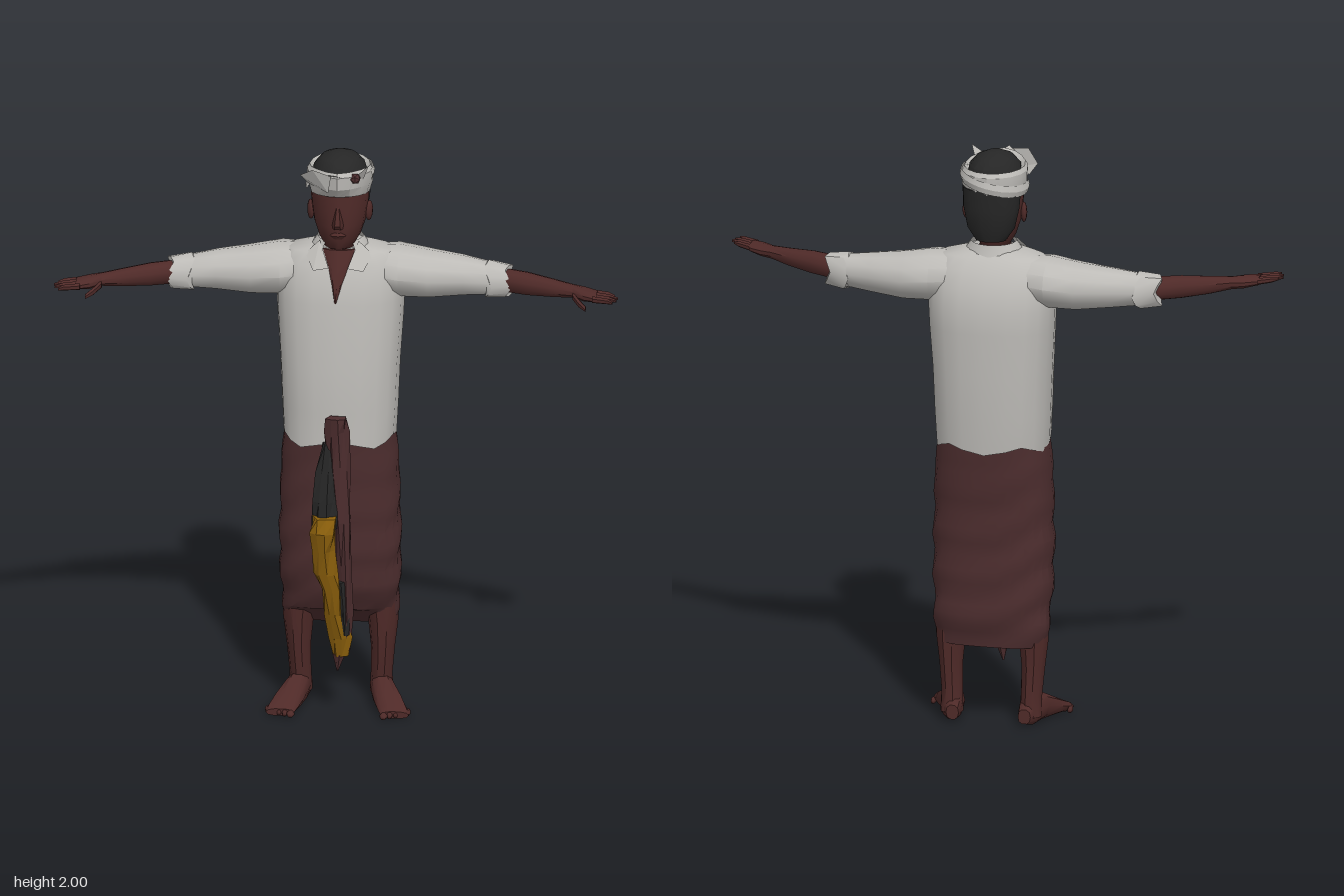
import * as THREE from 'three';
import { toCreasedNormals } from 'three/addons/utils/BufferGeometryUtils.js';

const mat = (name, color, side = THREE.FrontSide) => {
  const m = new THREE.MeshStandardMaterial({ color, side });
  m.name = name;
  return m;
};

// Ring layouts per axis; a ring is [position, centreA, centreB, radiusA, radiusB]
const PLACE = {
  y: (r, c, s, p) => p.set(r[1] + r[3] * c, r[0], r[2] + r[4] * s),
  x: (r, c, s, p) => p.set(r[0], r[1] + r[3] * c, r[2] - r[4] * s),
  z: (r, c, s, p) => p.set(r[1] + r[3] * c, r[2] - r[4] * s, r[0]),
};

// Skin elliptical rings along an axis. square < 1 makes boxier sections, warp bends points.
function loft(axis, rings, { n = 14, square = 1, warp, mirror = false, crease = 0.7, from = 0, span = Math.PI * 2 } = {}) {
  const closed = span > 6.28, cols = closed ? n : n + 1;
  const pos = [], idx = [], p = new THREE.Vector3();
  const push = () => pos.push(mirror ? -p.x : p.x, p.y, p.z);
  const tri = (a, b, c) => (mirror ? idx.push(a, c, b) : idx.push(a, b, c));
  const soft = v => Math.sign(v) * Math.pow(Math.abs(v), square);
  rings.forEach((r, i) => {
    for (let j = 0; j < cols; j++) {
      const t = from + (j / n) * span;
      PLACE[axis](r, soft(Math.cos(t)), soft(Math.sin(t)), p);
      if (warp) warp(p, t, i, r);
      push();
    }
  });
  for (let i = 0; i < rings.length - 1; i++) {
    for (let j = 0; j < n; j++) {
      const a = i * cols + j, b = i * cols + ((j + 1) % cols);
      tri(a, a + cols, b);
      tri(b, a + cols, b + cols);
    }
  }
  if (closed) {
    const last = rings.length - 1;
    [0, last].forEach(i => {
      PLACE[axis](rings[i], 0, 0, p);
      const c = pos.length / 3;
      push();
      for (let j = 0; j < n; j++) {
        const a = i * cols + j, b = i * cols + ((j + 1) % cols);
        i === 0 ? tri(c, a, b) : tri(c, b, a);
      }
    });
  }
  const g = new THREE.BufferGeometry();
  g.setAttribute('position', new THREE.Float32BufferAttribute(pos, 3));
  g.setIndex(idx);
  return toCreasedNormals(g, crease);
}

// Small flat cloth piece from a fan of corner points
function flap(points) {
  const g = new THREE.BufferGeometry();
  g.setAttribute('position', new THREE.Float32BufferAttribute(points.flat(), 3));
  g.setIndex(points.slice(2).flatMap((_, i) => [0, i + 1, i + 2]));
  return toCreasedNormals(g, 0);
}

export function createModel() {
  const model = new THREE.Group();
  model.name = 'standingMan';
  const skin = mat('skin', 0x4f2a28);
  const shirt = mat('white cloth', 0xbdbbb7, THREE.DoubleSide);
  const maroon = mat('maroon cloth', 0x4c2d2e, THREE.DoubleSide);
  const black = mat('black', 0x262626);
  const gold = mat('gold cloth', 0x8c600c);
  const add = (name, geo, m, parent = model) => {
    const mesh = new THREE.Mesh(geo, m);
    mesh.name = name;
    parent.add(mesh);
    return mesh;
  };

  // Shirt body with a slightly uneven hem
  add('shirtBody', loft('y', [
    [0.985, 0, -0.043, 0.192, 0.162], [1.1, 0, -0.05, 0.198, 0.166], [1.25, 0, -0.053, 0.204, 0.167],
    [1.4, 0, -0.065, 0.214, 0.158], [1.48, 0, -0.068, 0.218, 0.154], [1.55, 0, -0.066, 0.218, 0.138],
    [1.61, 0, -0.064, 0.208, 0.112], [1.648, 0, -0.058, 0.175, 0.085], [1.668, 0, -0.05, 0.09, 0.07],
  ], { n: 20, square: 0.8, warp: (p, t, i) => { if (i === 0) p.y += 0.014 * Math.sin(5 * t); } }), shirt);

  // Open neckline and collar
  add('chestSkin', loft('y', [
    [1.49, -0.008, 0.083, 0.003, 0.006], [1.55, -0.004, 0.07, 0.017, 0.009],
    [1.61, 0, 0.047, 0.034, 0.011], [1.665, 0, 0.018, 0.055, 0.018],
  ], { n: 8 }), skin);
  add('collar', loft('y', [
    [1.635, 0, -0.045, 0.115, 0.1], [1.66, 0, -0.045, 0.1, 0.09], [1.692, 0, -0.05, 0.078, 0.076],
  ], { n: 12, from: Math.PI / 2 + 0.6, span: Math.PI * 2 - 1.2 }), shirt);
  for (const s of [-1, 1]) {
    add('collarPoint', flap([
      [s * 0.066, 1.69, 0.005], [s * 0.032, 1.61, 0.066], [s * 0.085, 1.6, 0.064], [s * 0.115, 1.645, 0.012],
    ]), shirt);
  }

  // Neck, head and face
  add('head', loft('y', [
    [1.58, 0, -0.05, 0.07, 0.06], [1.66, 0, -0.045, 0.06, 0.062], [1.675, 0, -0.022, 0.05, 0.076],
    [1.71, 0, -0.022, 0.071, 0.093], [1.76, 0, -0.026, 0.088, 0.104], [1.81, 0, -0.03, 0.096, 0.106],
    [1.87, 0, -0.033, 0.1, 0.112], [1.93, 0, -0.035, 0.095, 0.108],
  ], { n: 16, warp: (p, t, i) => { if (i > 1 && p.z > 0.02) p.x *= 0.9; } }), skin);
  add('nose', loft('y', [
    [1.757, 0, 0.07, 0.019, 0.018], [1.772, 0, 0.074, 0.019, 0.024], [1.835, 0, 0.066, 0.008, 0.012],
  ], { n: 6 }), skin);
  add('lips', loft('y', [
    [1.718, 0, 0.064, 0.018, 0.008], [1.731, 0, 0.068, 0.028, 0.012], [1.742, 0, 0.066, 0.016, 0.009],
  ], { n: 8 }), skin);
  for (const s of [-1, 1]) {
    const ear = add('ear', new THREE.SphereGeometry(1, 8, 6), skin);
    ear.scale.set(0.012, 0.036, 0.022);
    ear.position.set(s * 0.099, 1.79, -0.028);
    ear.rotation.y = s * -0.3;
  }

  // Hair at the back and on the crown
  add('backHair', loft('y', [
    [1.705, 0, -0.095, 0.052, 0.04], [1.75, 0, -0.092, 0.083, 0.06], [1.82, 0, -0.088, 0.098, 0.073],
    [1.89, 0, -0.08, 0.102, 0.082],
  ]), black);
  add('crownHair', loft('y', [
    [1.9, 0, -0.035, 0.098, 0.112], [1.955, 0, -0.033, 0.088, 0.1], [1.985, 0, -0.031, 0.062, 0.07],
    [2.0, 0, -0.03, 0.025, 0.03],
  ]), black);

  // Folded head cloth, peaked at the front, with loose corners
  add('headCloth', loft('y', [
    [1.865, 0, -0.035, 0.101, 0.119], [1.9, 0, -0.035, 0.111, 0.13], [1.945, 0, -0.033, 0.112, 0.132],
    [1.96, 0, -0.033, 0.103, 0.122], [1.942, 0, -0.033, 0.088, 0.1],
  ], { n: 16, crease: 0.4, span: Math.PI * 2 - 1e-2, warp: (p, t, i) => {
    const front = Math.max(0, Math.sin(t));
    p.y += 0.016 * front - 0.006;
    if (i > 0 && i < 4) p.z += 0.02 * front ** 8;
  } }), shirt);
  add('headClothFold', loft('y', [
    [1.885, 0, -0.037, 0.112, 0.132], [1.905, 0, -0.037, 0.118, 0.137], [1.925, 0, -0.037, 0.112, 0.132],
  ], { n: 16, crease: 0.3, from: Math.PI * 0.9, span: Math.PI * 1.2,
    warp: p => { p.y += p.x * 0.22; } }), shirt);
  add('headClothCorner', flap([[-0.03, 1.9, 0.112], [-0.02, 1.965, 0.125], [-0.085, 1.978, 0.1], [-0.13, 1.94, 0.05], [-0.105, 1.905, 0.03]]), shirt);
  add('headClothPeak', flap([[0.03, 1.925, 0.1], [0.105, 1.988, 0.07], [0.085, 1.93, 0.05]]), shirt);
  add('frontPeak', flap([[-0.06, 1.955, 0.085], [-0.01, 1.972, 0.135], [0.035, 1.945, 0.1]]), shirt);
  const knot = add('headClothKnot', new THREE.IcosahedronGeometry(0.02, 0), maroon);
  knot.position.set(0.06, 1.945, 0.085);

  // Arms, hands, legs and feet on both sides
  for (const mirror of [false, true]) {
    const side = new THREE.Group();
    side.name = mirror ? 'rightLimbs' : 'leftLimbs';
    model.add(side);
    add('sleeve', loft('x', [
      [0.1, 1.57, -0.07, 0.08, 0.09], [0.2, 1.565, -0.07, 0.089, 0.118], [0.3, 1.555, -0.068, 0.082, 0.103],
      [0.42, 1.553, -0.06, 0.068, 0.078], [0.5, 1.55, -0.048, 0.058, 0.06], [0.505, 1.548, -0.047, 0.064, 0.064],
      [0.575, 1.546, -0.03, 0.056, 0.053],
    ], { n: 12, mirror, warp: (p, t, i) => { if (i > 4) p.x += 0.012 * Math.sin(3 * t); if (i === 5) p.y += 0.008 * Math.cos(2 * t) - 0.006; } }), shirt, side);
    add('forearm', loft('x', [
      [0.54, 1.55, -0.035, 0.042, 0.043], [0.64, 1.552, 0.007, 0.04, 0.044], [0.73, 1.553, 0.045, 0.031, 0.037],
      [0.8, 1.556, 0.078, 0.022, 0.031], [0.84, 1.556, 0.104, 0.021, 0.045], [0.885, 1.558, 0.13, 0.015, 0.046],
    ], { n: 10, mirror }), skin, side);
    for (let f = 0; f < 4; f++) {
      const z = 0.096 + f * 0.022, tip = 0.962 - Math.abs(f - 1.3) * 0.012;
      add('finger', loft('x', [
        [0.87, 1.558, z, 0.012, 0.013], [0.925, 1.562, z + 0.025, 0.01, 0.011], [tip, 1.562, z + 0.041, 0.005, 0.007],
      ], { n: 6, mirror }), skin, side);
    }
    add('thumb', loft('x', [
      [0.8, 1.547, 0.1, 0.014, 0.02], [0.825, 1.538, 0.15, 0.013, 0.022], [0.85, 1.533, 0.19, 0.008, 0.017],
    ], { n: 6, mirror }), skin, side);
    add('leg', loft('y', [
      [0.03, 0.137, -0.088, 0.04, 0.04], [0.1, 0.138, -0.08, 0.037, 0.046], [0.2, 0.143, -0.073, 0.041, 0.053],
      [0.3, 0.144, -0.072, 0.052, 0.062], [0.42, 0.135, -0.07, 0.06, 0.068],
    ], { n: 10, mirror }), skin, side);
    add('foot', loft('z', [
      [-0.135, 0.125, 0.036, 0.022, 0.026], [-0.1, 0.135, 0.05, 0.037, 0.05], [-0.03, 0.147, 0.05, 0.042, 0.05],
      [0.03, 0.17, 0.034, 0.05, 0.034], [0.085, 0.19, 0.02, 0.052, 0.02], [0.105, 0.195, 0.013, 0.048, 0.013],
    ], { n: 10, mirror, square: 0.85 }), skin, side);
    for (let k = 0; k < 5; k++) {
      const toe = add('toe', new THREE.SphereGeometry(1, 6, 5), skin, side);
      const r = k === 0 ? 0.014 : 0.01;
      toe.scale.set(r, 0.011, 0.026);
      toe.position.set((mirror ? -1 : 1) * (0.158 + k * 0.02), 0.012, 0.115 - k * 0.011);
    }
  }

  // Wrapped sarong with diagonal folds and a hem that rises at the front
  const keys = [
    [0.28, -0.08, 0.188, 0.075], [0.36, -0.073, 0.198, 0.1], [0.46, -0.055, 0.204, 0.122],
    [0.6, -0.046, 0.207, 0.132], [0.75, -0.043, 0.204, 0.138], [0.9, -0.045, 0.2, 0.148], [1.01, -0.044, 0.188, 0.155],
  ];
  const sarongRings = [];
  for (let i = 0; i < keys.length - 1; i++) {
    for (let k = 0; k < 3; k++) {
      const v = keys[i].map((a, c) => THREE.MathUtils.lerp(a, keys[i + 1][c], k / 3));
      sarongRings.push([v[0], 0, v[1], v[2], v[3]]);
    }
  }
  sarongRings.push([1.01, 0, -0.044, 0.188, 0.155]);
  add('sarong', loft('y', sarongRings, { n: 26, square: 0.82, crease: 0.45, warp: (p, t, i, r) => {
    const amount = 0.045 * Math.min(1, (1.01 - r[0]) * 3);
    const k = 1 + amount * Math.sin(2 * t + r[0] * 42 + Math.sin(3 * t));
    p.x *= 1 + (k - 1) * 0.6;
    p.z = r[2] + (p.z - r[2]) * k;
    if (i < 3) p.y += Math.max(0, Math.sin(t)) * 0.07 * (1 - i / 3);
  } }), maroon);

  // Hanging waist sash: pleated, flat-faced layers
  const pleat = (p, t, i, r) => {
    const k = 1 + 0.16 * Math.sin(4 * t + i * 1.7);
    p.x = r[1] + (p.x - r[1]) * k;
    p.z = r[2] + (p.z - r[2]) * k;
  };
  const cloth = (name, rings, m) => add(name, loft('y', rings, { n: 9, crease: 0.1, warp: pleat }), m);
  cloth('sashStrip', [
    [0.24, 0.03, 0.085, 0.014, 0.02], [0.38, 0.03, 0.098, 0.022, 0.025], [0.55, 0.026, 0.11, 0.024, 0.028],
    [0.72, 0.022, 0.125, 0.027, 0.032], [0.92, 0.008, 0.125, 0.036, 0.033], [1.05, 0, 0.135, 0.04, 0.03],
    [1.1, 0, 0.148, 0.036, 0.022],
  ], maroon);
  cloth('blackPanel', [
    [0.7, -0.04, 0.15, 0.042, 0.035], [0.8, -0.038, 0.145, 0.043, 0.035], [0.9, -0.033, 0.13, 0.036, 0.03],
    [1.0, -0.025, 0.12, 0.024, 0.024],
  ], black);
  cloth('blackTail', [
    [0.3, 0.022, 0.1, 0.02, 0.022], [0.4, 0.018, 0.108, 0.024, 0.026], [0.5, 0.012, 0.118, 0.02, 0.024],
  ], black);
  cloth('goldDrape', [
    [0.22, 0.012, 0.09, 0.026, 0.018], [0.29, 0.008, 0.097, 0.038, 0.026], [0.38, -0.01, 0.12, 0.03, 0.026],
    [0.48, -0.018, 0.142, 0.034, 0.03], [0.54, -0.035, 0.158, 0.04, 0.03], [0.63, -0.042, 0.17, 0.036, 0.034],
    [0.7, -0.042, 0.182, 0.045, 0.038], [0.75, -0.036, 0.17, 0.042, 0.036],
  ], gold);
  cloth('sashTip', [[0.165, 0, 0.09, 0.003, 0.003], [0.225, 0.004, 0.09, 0.02, 0.018]], maroon);

  return model;
}
